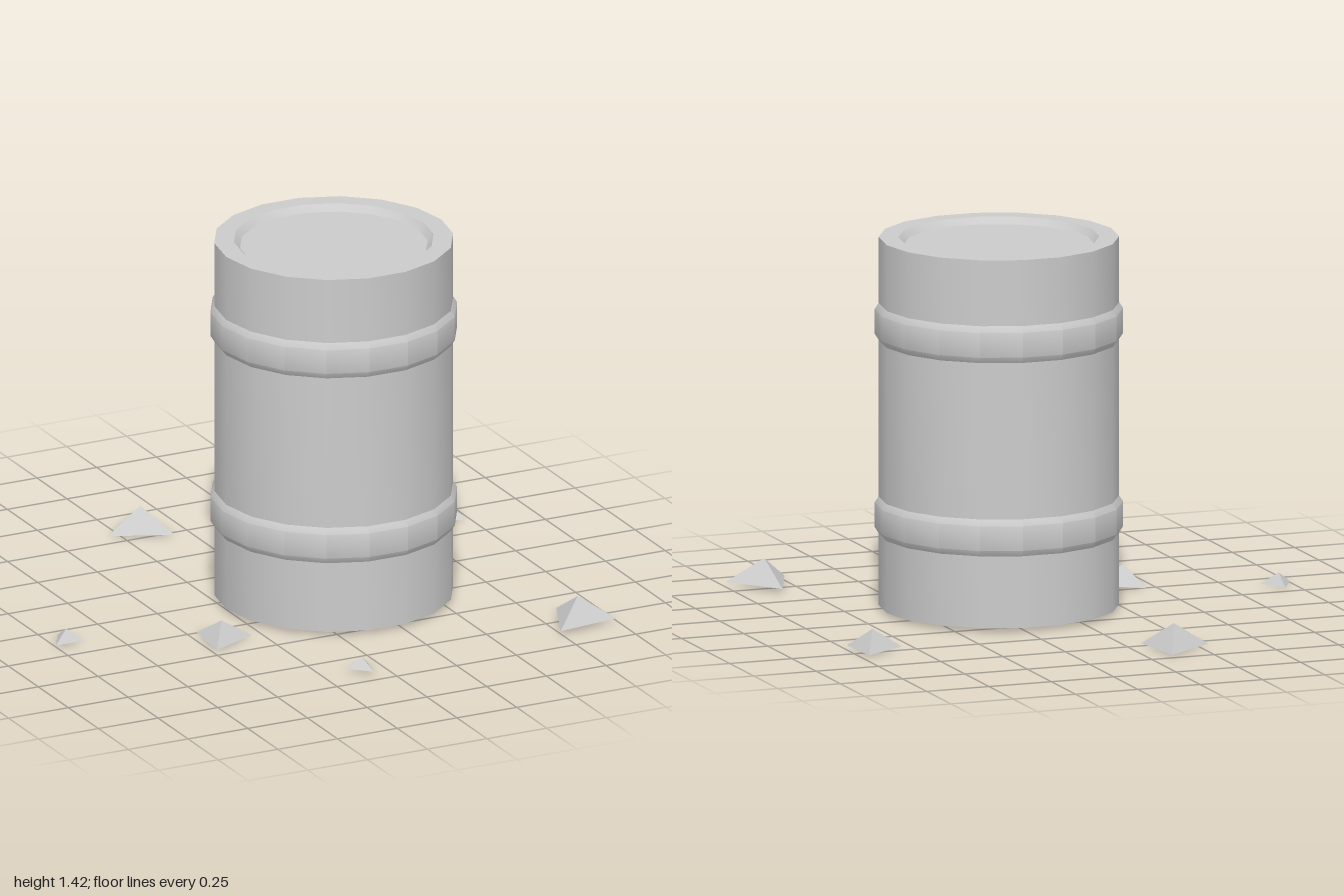
import * as THREE from 'three';
import { toCreasedNormals } from 'three/addons/utils/BufferGeometryUtils.js';

const SIDES = 18;

export function createModel() {
  const model = new THREE.Group();
  model.name = 'barrelWithStones';
  const metal = new THREE.MeshStandardMaterial({ color: 0xcccccc });
  const stone = new THREE.MeshStandardMaterial({ color: 0xcccccc, flatShading: true });

  // Turned part with a corner on the x axis; profile runs from bottom to top
  const turned = (name, profile) => {
    const points = profile.map(([r, y]) => new THREE.Vector2(r, y));
    const geometry = new THREE.LatheGeometry(points, SIDES, Math.PI / 2);
    const mesh = new THREE.Mesh(toCreasedNormals(geometry, 0.6), metal);
    mesh.name = name;
    return mesh;
  };

  const barrel = new THREE.Group();
  barrel.name = 'barrel';
  barrel.position.set(0.187, 0, 0.102);
  model.add(barrel);

  // Body with a raised rim around a shallow sunken lid
  barrel.add(turned('barrelBody', [
    [0, 0.013], [0.45, 0.013], [0.45, 1.418],
    [0.376, 1.418], [0.353, 1.393], [0, 1.393],
  ]));

  // Two bevelled hoops
  [['lowerHoop', 0.358], ['upperHoop', 1.096]].forEach(([name, y]) => {
    barrel.add(turned(name, [
      [0.449, y - 0.072], [0.465, y - 0.047], [0.465, y + 0.047], [0.449, y + 0.072],
    ]));
  });

  // Three-sided stones: x, z, radius, base, height, turn
  [
    [-0.153, -0.833, 0.145, 0.003, 0.093, 0.634],
    [0.913, -0.465, 0.119, 0.005, 0.078, -1.529],
    [-0.939, 0.112, 0.069, 0.005, 0.045, Math.PI],
    [-0.409, 0.353, 0.119, 0, 0.076, 1.48],
    [-0.09, 0.891, 0.064, 0.013, 0.041, -1.79],
    [0.86, 0.795, 0.144, 0.015, 0.093, -3.016],
  ].forEach(([x, z, radius, base, height, turn], i) => {
    const mesh = new THREE.Mesh(new THREE.ConeGeometry(radius, height, 3), stone);
    mesh.name = `stone${i + 1}`;
    mesh.position.set(x, base + height / 2, z);
    mesh.rotation.y = turn;
    model.add(mesh);
  });

  return model;
}
